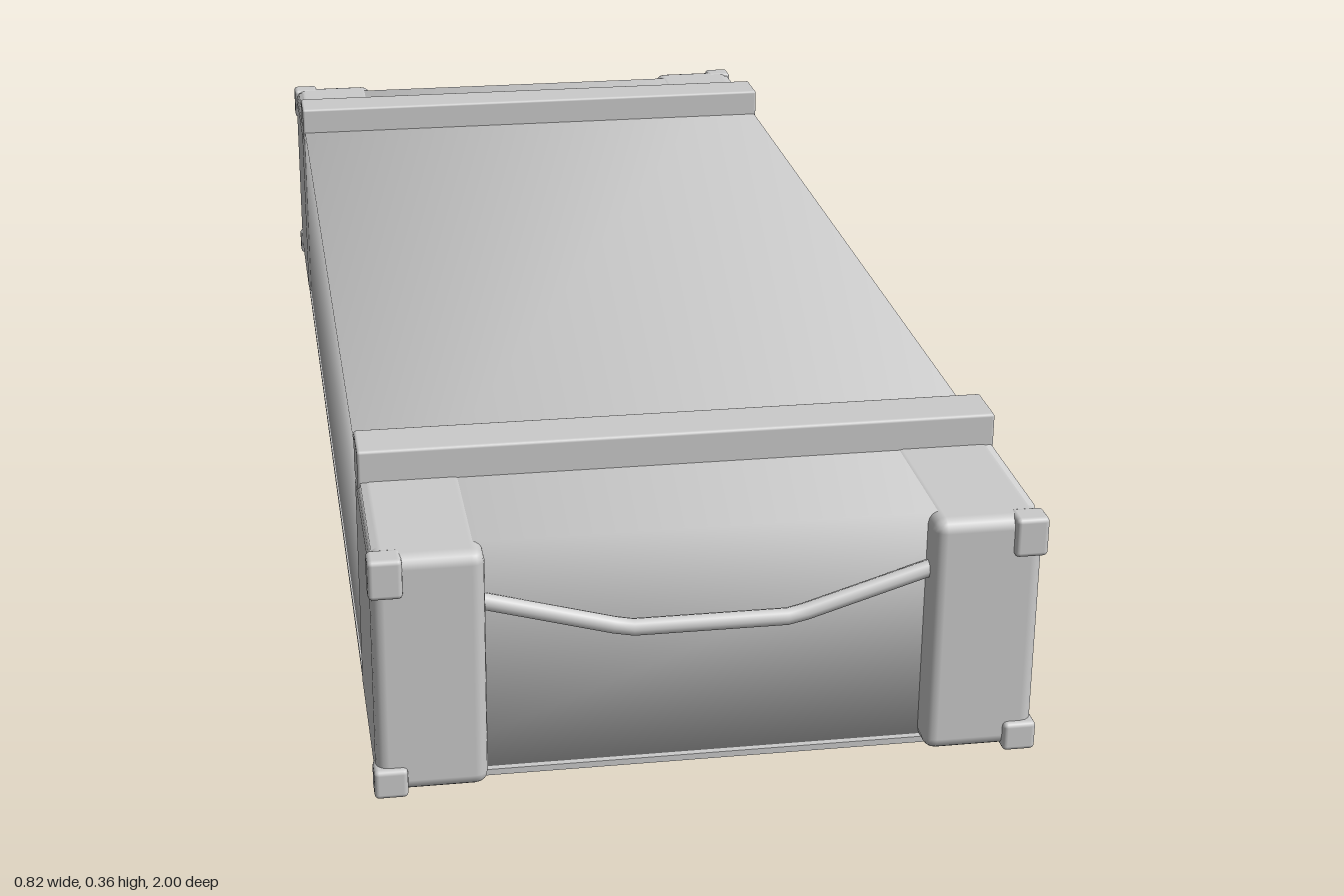
import * as THREE from 'three';
import { mergeVertices } from 'three/addons/utils/BufferGeometryUtils.js';
import { RoundedBoxGeometry } from 'three/addons/geometries/RoundedBoxGeometry.js';

const material = new THREE.MeshStandardMaterial({ color: 0xcccccc });

// Adds a mesh whose geometry fills the range from min to max
function addBlock(parent, name, min, max, make) {
  const size = max.map((v, i) => v - min[i]);
  const mesh = new THREE.Mesh(make(...size), material);
  mesh.position.set(...min.map((v, i) => (v + max[i]) / 2));
  mesh.name = name;
  parent.add(mesh);
  return mesh;
}

const sharp = (w, h, d) => new THREE.BoxGeometry(w, h, d);
const rounded = (r) => (w, h, d) => new RoundedBoxGeometry(w, h, d, 2, r);

// Box with shared corner normals, for softly shaded faces
function soft(w, h, d) {
  const box = new THREE.BoxGeometry(w, h, d);
  box.deleteAttribute('normal');
  box.deleteAttribute('uv');
  const geometry = mergeVertices(box);
  geometry.computeVertexNormals();
  return geometry;
}

// Bent carrying handle between the two posts
function handleGeometry() {
  const points = [
    [-0.275, 0.241, 0.965], [-0.1, 0.2, 0.981], [0.1, 0.2, 0.981], [0.275, 0.245, 0.965],
  ].map((p) => new THREE.Vector3(...p));
  const path = new THREE.CurvePath();
  for (let i = 0; i < 3; i++) path.add(new THREE.LineCurve3(points[i], points[i + 1]));
  return new THREE.TubeGeometry(path, 24, 0.011, 8);
}

// One end of the case: ridge, corner posts, guards and handle
function createEnd() {
  const end = new THREE.Group();
  addBlock(end, 'ridge', [-0.405, 0.3, 0.705], [0.405, 0.357, 0.775], rounded(0.004));
  addBlock(end, 'bottomLip', [-0.3, 0.002, 0.9], [0.3, 0.01, 0.965], sharp);
  for (const side of [-1, 1]) {
    const span = (a, b) => (side > 0 ? [a, b] : [-b, -a]);
    const [px0, px1] = span(0.27, 0.406);
    addBlock(end, 'cornerPost', [px0, 0.003, 0.72], [px1, 0.316, 0.992], rounded(0.016));
    const [gx0, gx1] = span(0.368, 0.409);
    addBlock(end, 'upperGuard', [gx0, 0.266, 0.965], [gx1, 0.317, 1], rounded(0.006));
    addBlock(end, 'lowerGuard', [gx0, 0, 0.965], [gx1, 0.038, 1], rounded(0.006));
  }
  const handle = new THREE.Mesh(handleGeometry(), material);
  handle.name = 'handle';
  end.add(handle);
  return end;
}

export function createModel() {
  const model = new THREE.Group();
  model.name = 'carryCase';

  // Long body and the thin plate under it
  addBlock(model, 'body', [-0.402, 0.004, -0.957], [0.402, 0.315, 0.957], soft);
  addBlock(model, 'basePlate', [-0.404, 0.001, -0.9], [0.404, 0.008, 0.9], sharp);

  // The same end twice, turned half round
  for (const [name, angle] of [['frontEnd', 0], ['backEnd', Math.PI]]) {
    const end = createEnd();
    end.name = name;
    end.rotation.y = angle;
    model.add(end);
  }
  return model;
}
